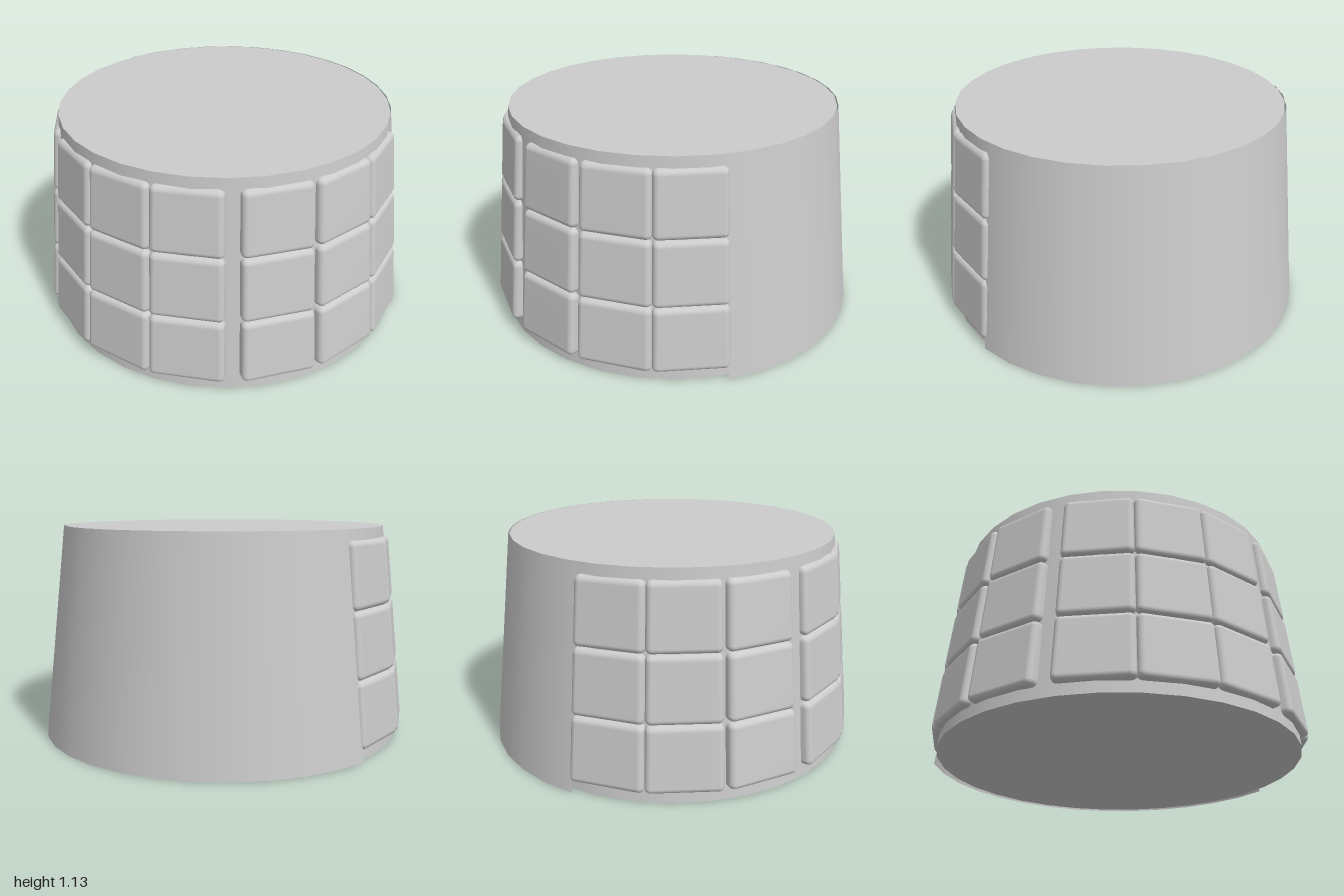
import * as THREE from 'three';
import { RoundedBoxGeometry } from 'three/addons/geometries/RoundedBoxGeometry.js';
import { mergeVertices } from 'three/addons/utils/BufferGeometryUtils.js';

const HEIGHT = 1.135;
const deg = THREE.MathUtils.degToRad;
const TURN = deg(-1.1); // slight twist of the cladding around the core

const padRadius = (y) => 0.992 - 0.098 * (y - 0.06);

// A cushioned pad, narrowed and leaned inwards to follow the cone
function padGeometry(y0, y1) {
  const depth = 0.11;
  const box = new RoundedBoxGeometry(1, y1 - y0, depth, 4, 0.03);
  const p = box.attributes.position;
  const baseWidth = 0.385;
  for (let i = 0; i < p.count; i++) {
    const y = p.getY(i) + (y0 + y1) / 2;
    const width = baseWidth * padRadius(y) / padRadius(0.06);
    // keep the corner rounding unscaled while setting the width
    const x = p.getX(i);
    const nx = Math.sign(x) * (Math.abs(x) - 0.5 + width / 2);
    p.setXYZ(i, nx, y, padRadius(y) - depth / 2 + p.getZ(i));
  }
  box.deleteAttribute('normal');
  box.deleteAttribute('uv');
  const geometry = mergeVertices(box, 1e-4);
  geometry.computeVertexNormals();
  return geometry;
}

export function createModel() {
  const model = new THREE.Group();
  model.name = 'paddedDrum';
  const grey = new THREE.MeshStandardMaterial({ color: 0xcccccc });
  const greySheet = new THREE.MeshStandardMaterial({ color: 0xcccccc, side: THREE.DoubleSide });

  // Solid tapered core
  const core = new THREE.Mesh(new THREE.CylinderGeometry(0.872, 0.965, HEIGHT, 32), grey);
  core.name = 'core';
  core.position.set(0, HEIGHT / 2, 0.007);
  model.add(core);

  // Thin plain sheet wrapped round the back
  const start = deg(106.5);
  const sheet = new THREE.Mesh(
    new THREE.CylinderGeometry(0.875, 0.998, HEIGHT, 14, 1, true, start, 2 * Math.PI - 2 * start),
    greySheet
  );
  sheet.name = 'backSheet';
  sheet.position.set(0, HEIGHT / 2, 0.003);
  sheet.rotation.y = TURN;
  model.add(sheet);

  // Three rows of pads: one centre column and four mirrored pairs
  const rows = [[0.06, 0.398], [0.4, 0.737], [0.739, 1.08]];
  const columns = [0, 22.7, 49.9, 73.6, 96.2];
  const pads = new THREE.Group();
  pads.name = 'pads';
  pads.position.z = 0.007;
  pads.rotation.y = TURN;
  rows.forEach(([y0, y1], r) => {
    const geometry = padGeometry(y0, y1);
    columns.forEach((angle, c) => {
      for (const side of angle ? [1, -1] : [1]) {
        const pad = new THREE.Mesh(geometry, grey);
        pad.name = `padRow${r + 1}Column${c}${angle ? (side > 0 ? 'Left' : 'Right') : ''}`;
        pad.rotation.y = side * deg(angle);
        pads.add(pad);
      }
    });
  });
  model.add(pads);
  return model;
}
